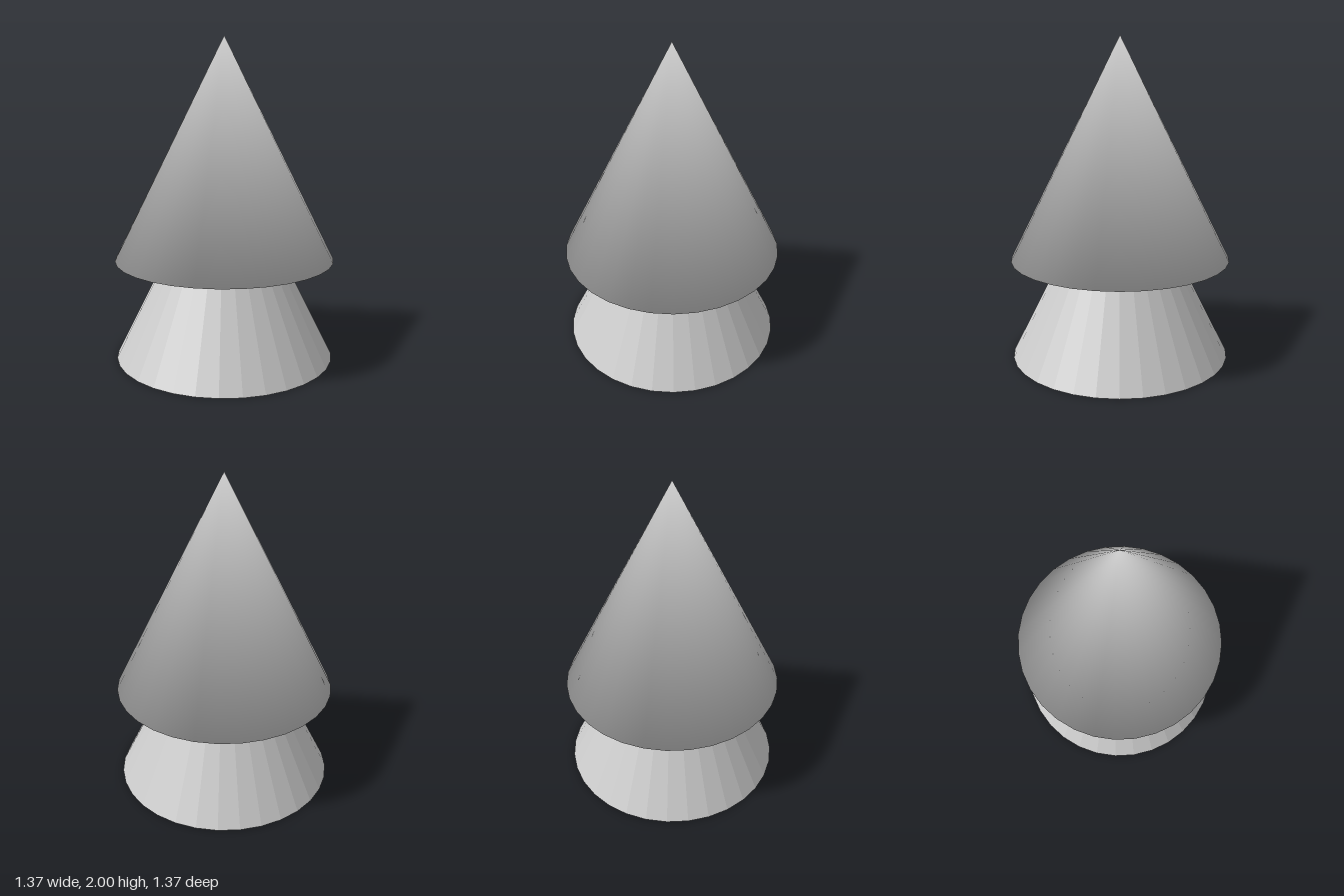
import * as THREE from 'three';

const SIDES = 32, RADIUS = 0.685, HEIGHT = 1.37, LIFT = 0.63;

// Closed cone whose side and base share their rim vertices, so shading rolls over the rim
function softCone() {
  const pos = [], nor = [], index = [];
  for (let i = 0; i < SIDES; i++) {
    const a = (i / SIDES) * Math.PI * 2, s = Math.sin(a), c = Math.cos(a);
    pos.push(RADIUS * s, 0, RADIUS * c);
    nor.push(0.865 * s, -0.502, 0.865 * c);
    index.push(i, (i + 1) % SIDES, SIDES);            // side
    if (i > 0 && i < SIDES - 1) index.push(0, i + 1, i); // base
  }
  pos.push(0, HEIGHT, 0); // apex
  nor.push(0, 1, 0);
  const g = new THREE.BufferGeometry();
  g.setAttribute('position', new THREE.Float32BufferAttribute(pos, 3));
  g.setAttribute('normal', new THREE.Float32BufferAttribute(nor, 3));
  g.setIndex(index);
  return g;
}

export function createModel() {
  const group = new THREE.Group();

  // Lower faceted cone, its tip hidden inside the upper one
  const lower = new THREE.Mesh(
    new THREE.ConeGeometry(RADIUS, HEIGHT, SIDES),
    new THREE.MeshStandardMaterial({ color: 0xcccccc, flatShading: true })
  );
  lower.name = 'lowerCone';
  lower.position.y = HEIGHT / 2;
  group.add(lower);

  // Upper smooth cone
  const upper = new THREE.Mesh(softCone(), new THREE.MeshStandardMaterial({ color: 0xcccccc }));
  upper.name = 'upperCone';
  upper.position.y = LIFT;
  group.add(upper);

  return group;
}
